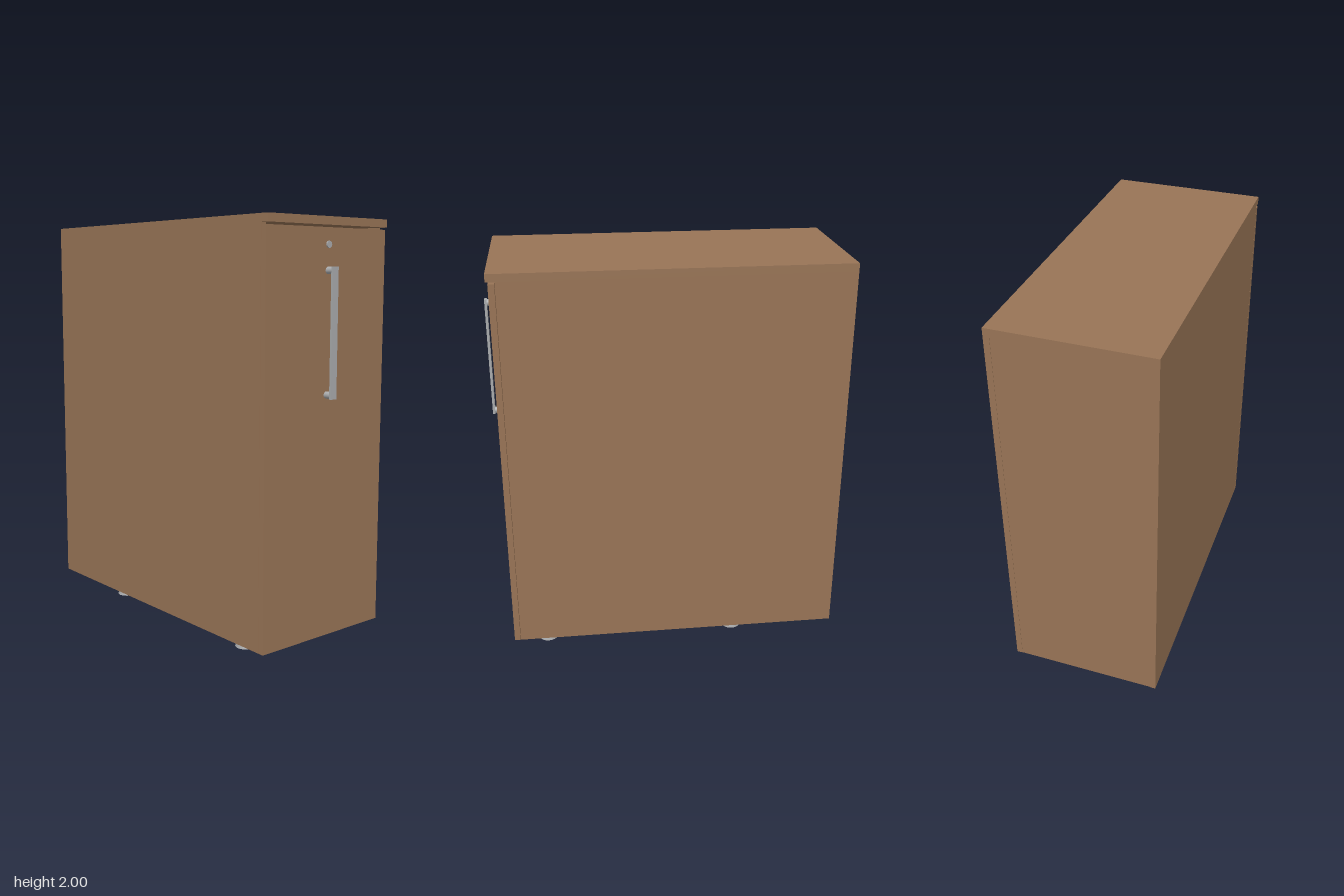
import * as THREE from 'three';

export function createModel() {
  const model = new THREE.Group();
  model.name = 'pulloutCabinet';
  const wood = new THREE.MeshStandardMaterial({ color: 0x987456 });
  wood.name = 'brown wood';
  const metal = new THREE.MeshStandardMaterial({ color: 0xa9abad });
  metal.name = 'grey metal';

  const W = 0.386, BACK = -0.878, T = 0.03;

  function add(name, geometry, material, x = 0, y = 0, z = 0) {
    const mesh = new THREE.Mesh(geometry, material);
    mesh.name = name;
    mesh.position.set(x, y, z);
    model.add(mesh);
    return mesh;
  }
  // box given by its extents on each axis
  function slab(name, x0, x1, y0, y1, z0, z1, material = wood) {
    return add(name, new THREE.BoxGeometry(x1 - x0, y1 - y0, z1 - z0), material,
      (x0 + x1) / 2, (y0 + y1) / 2, (z0 + z1) / 2);
  }

  // carcass
  slab('top', -W, W, 1.962, 2, BACK, 0.841);
  slab('leftSide', W - T, W, 0.02, 1.962, BACK, 0.798);
  slab('rightSide', -W, -W + T, 0.02, 1.962, BACK, 0.798);
  slab('backPanel', -W + T, W - T, 0.02, 1.962, BACK + 0.002, BACK + T);
  slab('bottomPanel', -W + T, W - T, 0.018, 0.048, -0.39, 0.7);

  // pull-out unit: front, floor, rear wall and two shelves
  slab('front', -W, W, 0.02, 1.952, 0.8, 0.83);
  slab('pulloutFloor', -0.33, 0.33, 0.08, 0.11, -0.44, 0.8);
  slab('pulloutRear', -0.33, 0.33, 0.11, 1.85, -0.44, -0.41);
  for (const y of [0.7, 1.3]) slab('pulloutShelf', -0.33, 0.33, y, y + T, -0.41, 0.8);

  // handle
  slab('handleBar', -0.018, 0.018, 1.17, 1.775, 0.866, 0.878, metal);
  for (const y of [1.187, 1.758]) {
    add('handlePost', new THREE.CylinderGeometry(0.017, 0.017, 0.038, 24), metal, 0, y, 0.848)
      .rotation.x = Math.PI / 2;
  }

  // lock
  add('lock', new THREE.CylinderGeometry(0.016, 0.016, 0.012, 24), metal, 0, 1.875, 0.831)
    .rotation.x = Math.PI / 2;

  for (const side of [-1, 1]) {
    // levelling feet
    for (const z of [0.652, -0.337]) {
      add('foot', new THREE.CylinderGeometry(0.046, 0.05, 0.014, 28), metal, side * 0.332, 0.007, z);
      add('footStem', new THREE.CylinderGeometry(0.02, 0.02, 0.012, 16), metal, side * 0.332, 0.016, z);
    }
    // castors under the pull-out
    add('castorWheel', new THREE.CylinderGeometry(0.03, 0.03, 0.022, 24), metal, side * 0.21, 0.03, 0.747)
      .rotation.z = Math.PI / 2;
    slab('castorBracket', side * 0.21 - 0.015, side * 0.21 + 0.015, 0.045, 0.08, 0.73, 0.764, metal);
  }
  return model;
}
